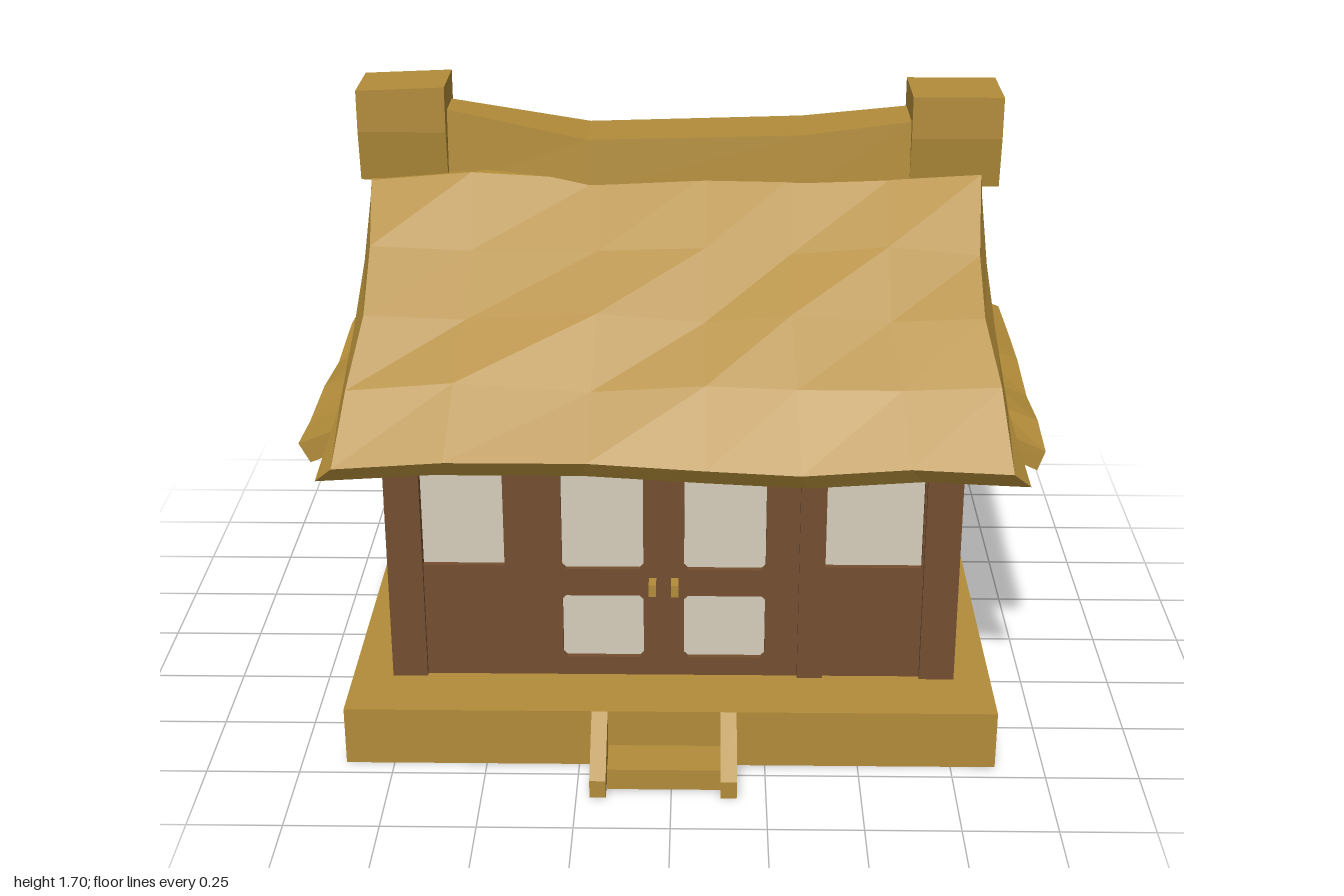
import * as THREE from 'three';

const mat = (name, color, extra = {}) =>
  Object.assign(new THREE.MeshStandardMaterial({ color, ...extra }), { name });

export function createModel() {
  const house = new THREE.Group();
  house.name = 'thatchedHouse';
  const straw = mat('straw', 0xb28c39, { flatShading: true });
  const wood = mat('wood', 0x744f31, { flatShading: true });
  const paper = mat('paper', 0xd6cdbb, { flatShading: true });
  const CZ = -0.07; // ridge line

  const add = (parent, name, geo, material) => {
    const m = new THREE.Mesh(geo, material);
    m.name = name;
    parent.add(m);
    return m;
  };
  // box given by its minimum and maximum on each axis
  const box = (parent, name, material, x0, x1, y0, y1, z0, z1) => {
    const m = add(parent, name, new THREE.BoxGeometry(x1 - x0, y1 - y0, z1 - z0), material);
    m.position.set((x0 + x1) / 2, (y0 + y1) / 2, (z0 + z1) / 2);
    return m;
  };
  // skin over closed rings; ring point k pairs with point n-1-k to close the ends
  const loft = (rings) => {
    const n = rings[0].length, P = rings.flat(), idx = [];
    const quad = (a, b, c, d) => idx.push(a, b, c, a, c, d);
    for (let i = 0; i < rings.length - 1; i++)
      for (let k = 0; k < n; k++) {
        const l = (k + 1) % n, a = i * n, b = a + n;
        quad(a + k, a + l, b + l, b + k);
      }
    const e = (rings.length - 1) * n;
    for (let k = 0; k < n / 2 - 1; k++) {
      quad(k, n - 1 - k, n - 2 - k, k + 1);
      quad(e + k, e + k + 1, e + n - 2 - k, e + n - 1 - k);
    }
    // turn the faces outward
    const V = P.map((p) => new THREE.Vector3(...p));
    let volume = 0;
    const c = new THREE.Vector3();
    for (let i = 0; i < idx.length; i += 3)
      volume += V[idx[i]].dot(c.crossVectors(V[idx[i + 1]], V[idx[i + 2]]));
    if (volume < 0) idx.reverse();
    const g = new THREE.BufferGeometry();
    g.setAttribute('position', new THREE.Float32BufferAttribute(P.flat(), 3));
    g.setIndex(idx);
    const flat = g.toNonIndexed();
    flat.computeVertexNormals();
    return flat;
  };
  const wobble = (i, k, amount) => Math.sin(i * 2.7 + k * 4.1 + 1) * amount;
  const polygon = (pts, Type = THREE.Shape) => new Type(pts.map((p) => new THREE.Vector2(...p)));
  const rect = (a, b, y0, y1, c = 0) => c
    ? [[a + c, y0], [b - c, y0], [b, y0 + c], [b, y1 - c], [b - c, y1], [a + c, y1], [a, y1 - c], [a, y0 + c]]
    : [[a, y0], [b, y0], [b, y1], [a, y1]];

  // platform and front step
  box(house, 'platform', straw, -0.88, 0.87, 0, 0.165, -0.83, 0.7);
  box(house, 'stepTread', straw, -0.17, 0.13, 0, 0.06, 0.7, 0.82);
  for (const x of [-0.215, 0.13]) {
    const side = polygon([[0.69, 0], [0.86, 0], [0.86, 0.05], [0.7, 0.165], [0.69, 0.165]]);
    const m = add(house, 'stepSide', new THREE.ExtrudeGeometry(side, { depth: 0.043, bevelEnabled: false }), straw);
    m.rotation.y = -Math.PI / 2;
    m.position.x = x + 0.043;
  }

  // solid inner body with gable ends
  const body = polygon([[-0.485, 0.165], [0.625, 0.165], [0.625, 0.9], [0.07, 1.34], [-0.485, 0.9]]);
  const core = add(house, 'innerWalls', new THREE.ExtrudeGeometry(body, { depth: 1.47, bevelEnabled: false }), wood);
  core.rotation.y = Math.PI / 2;
  core.position.x = -0.735;

  // outer wall skin with openings, paper panes behind them, and posts in front
  const wall = (name, angle, outline, holes, posts) => {
    const g = new THREE.Group();
    g.name = name;
    g.rotation.y = angle;
    house.add(g);
    const d = { front: 0.485, back: 0.625 }[name] ?? 0.735;
    const shape = polygon(outline);
    for (const h of holes) {
      shape.holes.push(polygon(h, THREE.Path));
      const pane = new THREE.ExtrudeGeometry(polygon(h), { depth: 0.004, bevelEnabled: false });
      add(g, 'pane', pane, paper).position.z = d;
    }
    const skin = new THREE.ExtrudeGeometry(shape, { depth: 0.02, bevelEnabled: false });
    add(g, 'wallPanel', skin, wood).position.z = d;
    for (const [a, b] of posts) box(g, 'post', wood, a, b, 0.165, 0.9, d - 0.01, d + 0.033);
    return g;
  };

  // front with double door
  const front = wall('front', 0, rect(-0.735, 0.735, 0.165, 0.92), [
    rect(-0.675, -0.455, 0.5, 0.83), rect(0.41, 0.67, 0.5, 0.83),
    ...[[-0.3, -0.08], [0.03, 0.25]].flatMap(([a, b]) =>
      [rect(a, b, 0.49, 0.785, 0.01), rect(a, b, 0.22, 0.41, 0.01)]),
  ], [[0.34, 0.41]]);
  for (const x of [-0.055, 0.005]) box(front, 'doorHandle', straw, x - 0.01, x + 0.01, 0.43, 0.465, 0.5, 0.55);

  // back with a plain middle
  wall('back', Math.PI, rect(-0.735, 0.735, 0.165, 0.92),
    [rect(-0.68, -0.45, 0.5, 0.83), rect(0.45, 0.68, 0.5, 0.83)],
    [[-0.45, -0.385], [0.385, 0.45]]);

  // gable sides, mirrored
  for (const s of [1, -1]) {
    const flip = (pts) => pts.map(([u, y]) => [s * u, y]);
    const halves = [1, -1].flatMap((q) => [
      [[0.325, 1.01], [0.105, 1.01], [0.19, 1.14]],
      [[0.16, 1.17], [0.04, 1.28], [0.04, 1.01], [0.052, 1.01]],
    ].map((t) => t.map(([u, y]) => [0.07 + q * u, y])));
    wall(s > 0 ? 'right' : 'left', s * Math.PI / 2,
      flip([[-0.485, 0.165], [0.625, 0.165], [0.625, 0.93], [0.07, 1.37], [-0.485, 0.93]]),
      [rect(-0.42, -0.2, 0.5, 0.83), rect(-0.04, 0.07, 0.52, 0.79, 0.012), rect(0.1, 0.21, 0.52, 0.79, 0.012),
        rect(0.305, 0.565, 0.5, 0.83), ...halves].map(flip),
      [[-0.2, -0.055], [0.235, 0.305]].map(([a, b]) => (s > 0 ? [a, b] : [-b, -a])));
    // corner posts
    for (const [z0, z1] of [[0.42, 0.52], [-0.66, -0.565]])
      box(house, 'cornerPost', wood, s > 0 ? 0.675 : -0.77, s > 0 ? 0.77 : -0.675, 0.165, 0.91, z0, z1);
  }

  // main thatched roof: [distance from ridge line, height, end x]
  const top = [[0.78, 0.885, 0.87], [0.61, 1.035, 0.85], [0.44, 1.165, 0.82], [0.27, 1.295, 0.82], [0.09, 1.445, 0.835]];
  const under = [[0.745, 0.835, 0.92], [0.56, 0.965, 0.875], [0.38, 1.095, 0.86], [0.19, 1.233, 0.85], [0.02, 1.37, 0.85]];
  const bothSlopes = (pts) => [...pts.map(([w, y, x]) => [CZ + w, y, x]),
    ...pts.slice().reverse().map(([w, y, x]) => [CZ - w, y, x])];
  const section = [...bothSlopes(top), ...bothSlopes(under).reverse()];
  const stations = [-1, -0.67, -0.25, 0.1, 0.38, 0.7, 1];
  const eaveLift = [-0.01, 0.015, 0.01, -0.005, -0.02, 0, -0.01];
  add(house, 'mainRoof', loft(stations.map((u, i) => section.map(([z, y, x], k) => {
    const low = y < 0.95;
    return [u * x, y + (low ? eaveLift[i] : k < 10 ? wobble(i, k, 0.012) : 0), z + (low ? wobble(i, 1, 0.006) : 0)];
  }))), straw);

  // small side roofs below the gables
  for (const s of [1, -1]) {
    const rings = [0.455, 0.3, 0.08, -0.15, -0.4, -0.62].map((z, i) => {
      const j = wobble(i, s, 0.012);
      return [[1 - Math.abs(j), 0.835 + j], [0.87, 0.885 + j / 2], [0.73, 0.925], [0.73, 0.87], [0.85, 0.83 + j / 2], [0.97, 0.78 + j]]
        .map(([x, y]) => [s * x, y, z]);
    });
    add(house, 'sideRoof', loft(rings), straw);
  }

  // sagging ridge cap: [x, top height, back z, front z]
  const ridge = [[-0.75, 1.62, -0.15, -0.01], [-0.62, 1.62, -0.15, -0.01], [-0.24, 1.55, -0.18, 0.035],
    [0.35, 1.565, -0.19, 0.035], [0.64, 1.6, -0.17, 0.02], [0.75, 1.6, -0.17, 0.02]];
  add(house, 'ridgeCap', loft(ridge.map(([x, y, b, f]) =>
    [[x, y, f - 0.012], [x, y, b + 0.012], [x, 1.41, b], [x, 1.41, f]])), straw);

  // flared blocks at the ridge ends
  for (const [x0, x1, drop, dz] of [[-0.865, -0.625, 0, 0.01], [0.64, 0.885, 0.01, 0]]) {
    const rings = [[1.43, 0.08], [1.57, 0.1], [1.685, 0.1]].map(([y, w], i) => {
      const f = CZ + w + 0.005 - dz, b = CZ - w - 0.01 + dz, h = y - drop;
      const up = i === 2 && !drop ? 0.01 : 0;
      return [[x0, h, f], [x1, h + up, f], [x1, h + up, b], [x0, h, b]];
    });
    add(house, 'ridgeEnd', loft(rings), straw);
  }
  return house;
}
